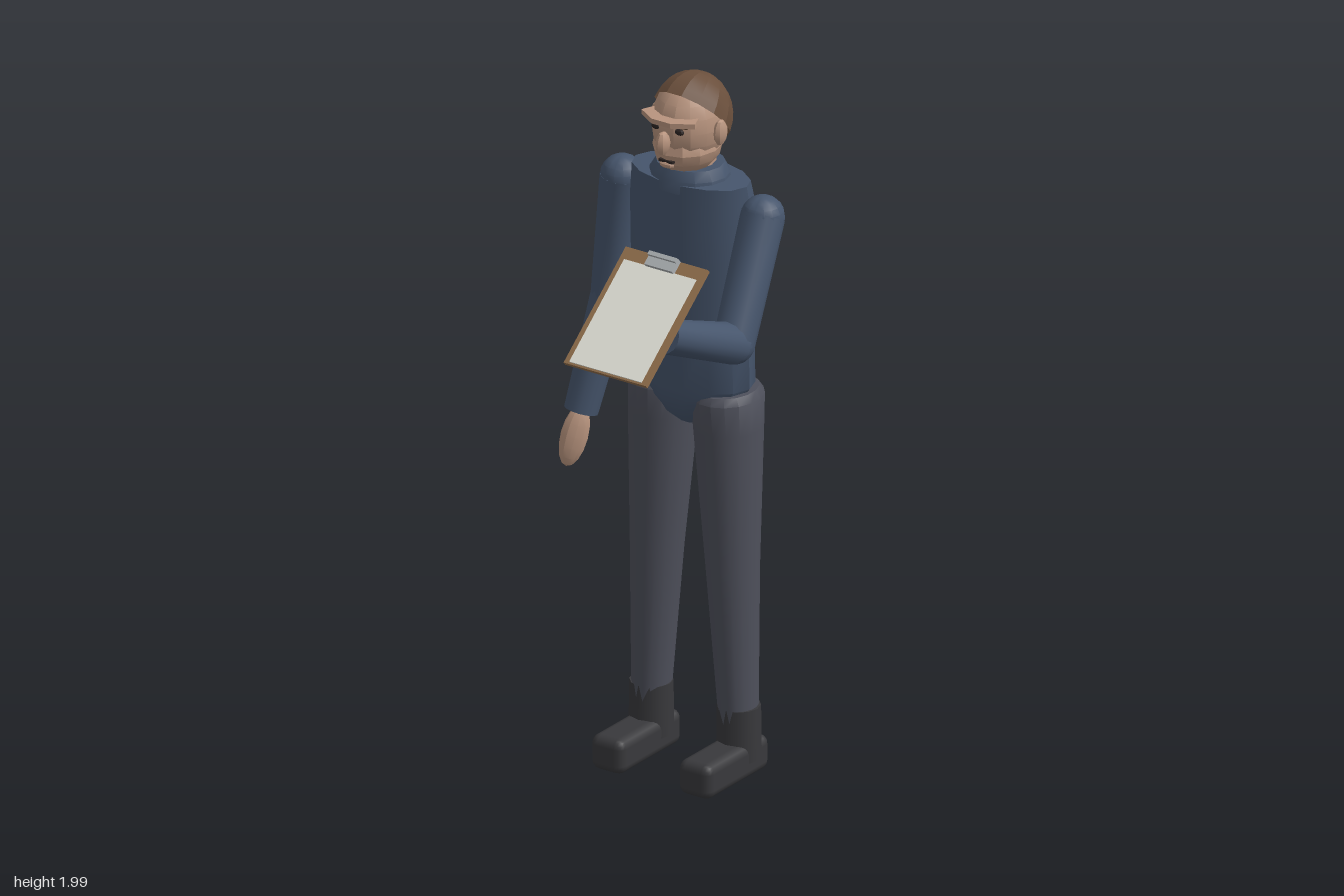
import * as THREE from 'three';
import { toCreasedNormals } from 'three/addons/utils/BufferGeometryUtils.js';
import { RoundedBoxGeometry } from 'three/addons/geometries/RoundedBoxGeometry.js';

const mat = (color, flatShading = false) =>
  new THREE.MeshStandardMaterial({ color, flatShading, side: THREE.DoubleSide });
const navy = mat(0x46556c), trousers = mat(0x4e505b), boots = mat(0x39393c);
const skin = mat(0xb8947e), hair = mat(0x6a4f3c), dark = mat(0x2c2422);
const board = mat(0x8f6d4b), paper = mat(0xe2e2d8), metal = mat(0xa9adb0);

const CX = -0.012; // body centre line
const V = (x, y, z) => new THREE.Vector3(x, y, z);

function add(parent, name, geometry, material, x = 0, y = 0, z = 0) {
  const m = new THREE.Mesh(geometry, material);
  m.name = name;
  m.position.set(x, y, z);
  parent.add(m);
  return m;
}

const ellipsoid = (rx, ry, rz, w = 12, h = 8) =>
  toCreasedNormals(new THREE.SphereGeometry(1, w, h).scale(rx, ry, rz), 0.45);

// Tapered cylinder between two points
function limb(parent, name, a, b, ra, rb, material, sides = 14) {
  const d = b.clone().sub(a);
  const g = toCreasedNormals(new THREE.CylinderGeometry(rb, ra, d.length(), sides), 0.8);
  const m = add(parent, name, g, material);
  m.position.copy(a).addScaledVector(d, 0.5);
  m.quaternion.setFromUnitVectors(V(0, 1, 0), d.normalize());
  return m;
}

// Loft of elliptical rings [y, halfWidth, halfDepth, centreZ]
function loft(rings, sides = 14) {
  const pos = [], idx = [];
  for (const [y, rx, rz, cz] of rings) {
    for (let i = 0; i < sides; i++) {
      const a = ((i + 0.5) / sides) * Math.PI * 2;
      pos.push(Math.sin(a) * rx, y, cz + Math.cos(a) * rz);
    }
  }
  for (let r = 0; r < rings.length - 1; r++) {
    for (let i = 0; i < sides; i++) {
      const j = (i + 1) % sides, a = r * sides + i, b = r * sides + j;
      idx.push(a, b, b + sides, a, b + sides, a + sides);
    }
  }
  const g = new THREE.BufferGeometry();
  g.setAttribute('position', new THREE.Float32BufferAttribute(pos, 3));
  g.setIndex(idx);
  return toCreasedNormals(g, 0.6);
}

function buildTorso(root) {
  const g = new THREE.Group();
  g.name = 'torso';
  add(g, 'jacket', loft([
    [0.995, 0.002, 0.002, -0.3], [1.0, 0.05, 0.05, -0.3], [1.03, 0.09, 0.085, -0.3],
    [1.08, 0.145, 0.11, -0.3], [1.12, 0.175, 0.118, -0.3], [1.3, 0.177, 0.12, -0.293],
    [1.5, 0.187, 0.121, -0.292], [1.63, 0.188, 0.117, -0.29], [1.715, 0.18, 0.1, -0.28],
    [1.72, 0.002, 0.002, -0.275],
  ]), navy, CX);
  add(g, 'collar', loft([
    [1.69, 0.115, 0.1, -0.275], [1.725, 0.112, 0.098, -0.275],
    [1.752, 0.095, 0.085, -0.275], [1.75, 0.06, 0.055, -0.275],
  ]), navy, CX);
  add(g, 'neck', new THREE.CylinderGeometry(0.065, 0.07, 0.12, 12), skin, CX, 1.74, -0.28);
  for (const s of [-1, 1])
    add(g, 'chestTag', new THREE.BoxGeometry(0.026, 0.085, 0.012), paper, CX + s * 0.0185, 1.443, -0.17);
  root.add(g);
}

function buildHead(root) {
  const g = new THREE.Group();
  g.name = 'head';
  g.position.x = CX;
  add(g, 'skull', ellipsoid(0.1, 0.125, 0.112, 14, 10), skin, 0, 1.865, -0.275);
  add(g, 'jaw', ellipsoid(0.09, 0.075, 0.1, 12, 8), skin, 0, 1.802, -0.262);
  // Hair cap tipped towards the back of the head
  const cap = new THREE.SphereGeometry(1, 14, 7, 0, Math.PI * 2, 0, 1.5).rotateX(-0.78);
  cap.scale(0.107, 0.128, 0.122);
  add(g, 'hair', toCreasedNormals(cap, 0.35), hair, 0, 1.872, -0.279);
  add(g, 'hairBun', ellipsoid(0.04, 0.042, 0.045, 10, 7), hair, 0, 1.828, -0.402);

  // Thin brow plate projecting over the eyes
  const s = new THREE.Shape();
  [[-0.06, 0.24], [0.06, 0.24], [0.087, 0.175], [0.03, 0.14], [-0.03, 0.14], [-0.087, 0.175]]
    .forEach(([x, y], i) => (i ? s.lineTo(x, -y) : s.moveTo(x, -y)));
  const brow = new THREE.ExtrudeGeometry(s, { depth: 0.014, bevelEnabled: false });
  add(g, 'browRidge', brow.rotateX(Math.PI / 2).scale(1, 1, -1).rotateY(Math.PI)
    .scale(-1, 1, -1).scale(1, 1, -1), skin, 0, 1.91, 0);
  for (const side of [-1, 1]) {
    add(g, 'ear', ellipsoid(0.016, 0.037, 0.024, 8, 6), skin, side * 0.103, 1.858, -0.268);
    add(g, 'eye', ellipsoid(0.015, 0.009, 0.008, 8, 6), dark, side * 0.038, 1.876, -0.172);
    const b = add(g, 'eyebrow', new THREE.BoxGeometry(0.045, 0.007, 0.012), hair, side * 0.04, 1.892, -0.172);
    b.rotation.y = side * 0.3;
  }
  add(g, 'nose', ellipsoid(0.018, 0.034, 0.024, 8, 6), skin, 0, 1.842, -0.15);
  add(g, 'mouth', new THREE.BoxGeometry(0.045, 0.007, 0.012), dark, 0, 1.785, -0.168);
  add(g, 'lowerLip', ellipsoid(0.024, 0.01, 0.012, 8, 5), skin, 0, 1.775, -0.168);
  root.add(g);
}

function buildLeg(root, side) {
  const g = new THREE.Group();
  g.name = side > 0 ? 'leftLeg' : 'rightLeg';
  g.position.x = CX;
  add(g, 'trouserLeg', loft([
    [0.12, 0.05, 0.055, -0.297], [0.6, 0.07, 0.078, -0.297],
    [1.0, 0.092, 0.1, -0.302], [1.09, 0.094, 0.108, -0.304], [1.11, 0.08, 0.095, -0.304],
    [1.112, 0.002, 0.002, -0.304],
  ], 16), trousers);
  // Lean the leg so the outer seam stays straight
  const m = g.children[0];
  const p = m.geometry.attributes.position;
  for (let i = 0; i < p.count; i++)
    p.setX(i, p.getX(i) + side * THREE.MathUtils.mapLinear(p.getY(i), 0.12, 1.1, 0.143, 0.101));
  m.geometry = toCreasedNormals(m.geometry, 0.7);
  add(g, 'bootShaft', new THREE.CylinderGeometry(0.059, 0.061, 0.15, 12), boots, side * 0.142, 0.126, -0.298);
  add(g, 'bootFoot', new RoundedBoxGeometry(0.106, 0.1, 0.286, 2, 0.026), boots, side * 0.142, 0.053, -0.228);
  root.add(g);
}

function buildArm(root, name, shoulder, elbow, wrist, tip, handScale) {
  const g = new THREE.Group();
  g.name = name;
  add(g, 'shoulder', ellipsoid(0.06, 0.06, 0.06, 14, 10), navy).position.copy(shoulder);
  limb(g, 'upperArm', shoulder, elbow, 0.06, 0.057, navy);
  add(g, 'elbow', ellipsoid(0.057, 0.057, 0.057, 14, 10), navy).position.copy(elbow);
  limb(g, 'forearm', elbow, wrist, 0.057, 0.047, navy);
  // Hand tapers from the cuff to the fingertips
  const dir = tip.clone().sub(wrist);
  const hand = add(g, 'hand', ellipsoid(handScale[0], dir.length() * 0.56, handScale[1], 10, 8), skin);
  hand.position.copy(wrist).addScaledVector(dir, 0.46);
  hand.quaternion.setFromUnitVectors(V(0, 1, 0), dir.normalize());
  root.add(g);
}

function buildClipboard(root) {
  const g = new THREE.Group();
  g.name = 'clipboard';
  g.position.set(0.223, 1.563, 0.302);
  g.rotation.x = Math.atan2(0.233, 0.285); // local +y is the writing face
  add(g, 'backing', new THREE.BoxGeometry(0.267, 0.012, 0.368), board);
  add(g, 'paper', new THREE.BoxGeometry(0.233, 0.004, 0.325), paper, 0, 0.008, 0.016);
  add(g, 'clip', new THREE.BoxGeometry(0.09, 0.016, 0.04), metal, 0, 0.014, -0.164);
  add(g, 'clipLip', new THREE.BoxGeometry(0.09, 0.018, 0.012), metal, 0, 0.022, -0.176);
  root.add(g);
}

export function createModel() {
  const root = new THREE.Group();
  root.name = 'figureWithClipboard';
  buildTorso(root);
  buildHead(root);
  for (const side of [-1, 1]) buildLeg(root, side);
  buildArm(root, 'rightArm', V(-0.243, 1.64, -0.29), V(-0.265, 1.3, -0.275),
    V(-0.305, 0.98, -0.19), V(-0.325, 0.83, -0.15), [0.026, 0.038]);
  buildArm(root, 'leftArm', V(0.22, 1.643, -0.28), V(0.248, 1.345, -0.108),
    V(0.231, 1.467, 0.185), V(0.228, 1.54, 0.315), [0.04, 0.026]);
  buildClipboard(root);
  return root;
}
